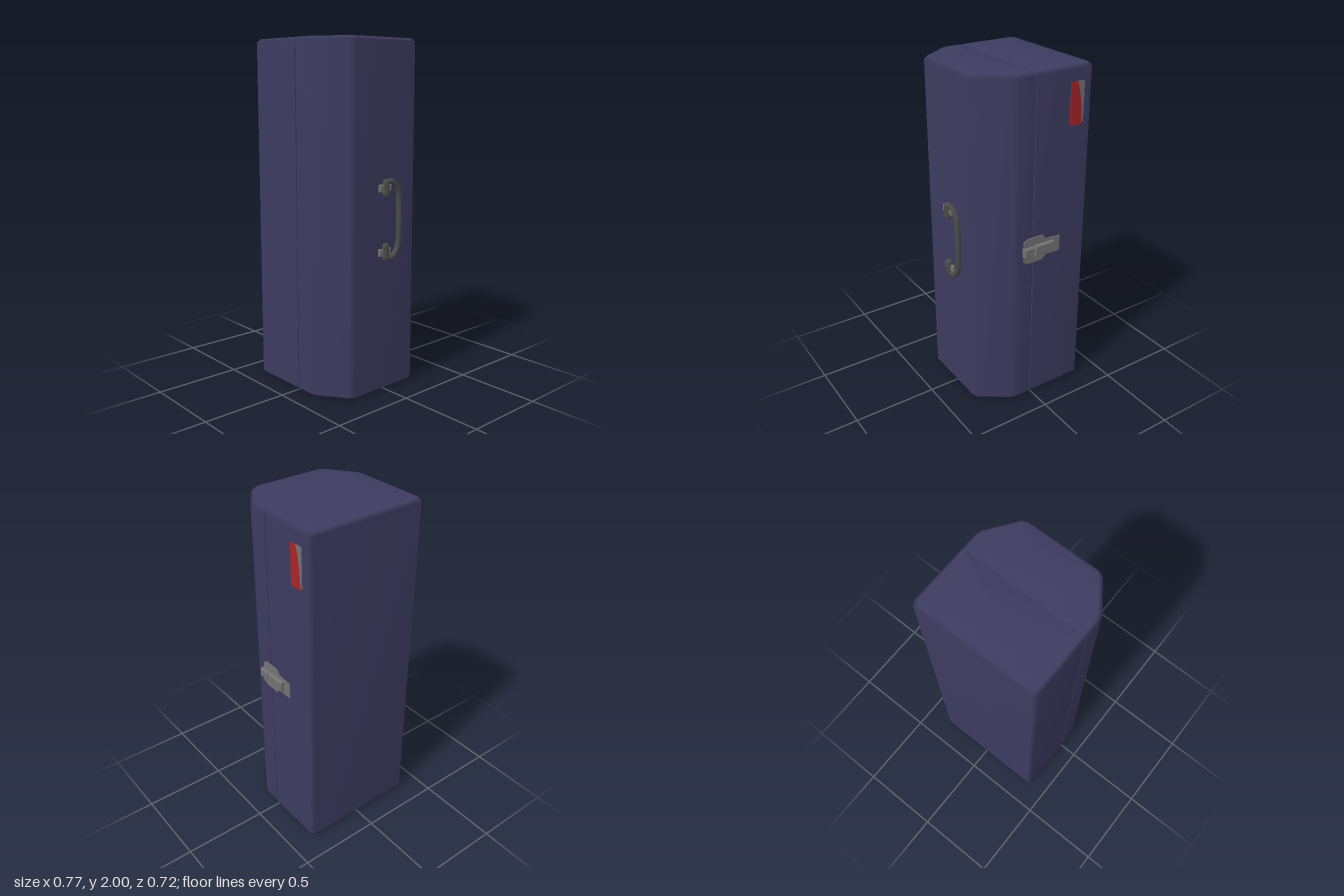
import * as THREE from 'three';

const CX = -0.015, SEAM = 0.01;
const mat = (name, color, side = THREE.FrontSide) => {
  const m = new THREE.MeshStandardMaterial({ color, side });
  m.name = name;
  return m;
};

// Bevelled prism: half outline as [half width, z], listed from the seam outwards
function shellGeometry(half) {
  const seam = half[0][1], bevel = 0.018;
  const depth = Math.abs(half[half.length - 1][1] - seam);
  const forward = half[half.length - 1][1] > seam;
  const left = half.map(([w, z]) => [-w, z]);
  const right = half.slice().reverse();
  let outline = [...left, ...right];
  if (!forward) outline = outline.reverse();
  const n = outline.length, pos = [], idx = [];
  for (const [y, inset] of [[0, bevel], [bevel, 0], [2 - bevel, 0], [2, bevel]])
    for (const [x, z] of outline)
      pos.push(CX + x * (1 - inset / 0.37), y, seam + (z - seam) * (1 - inset / depth));
  for (let j = 0; j < 3; j++)
    for (let i = 0; i < n; i++) {
      const a = j * n + i, b = j * n + (i + 1) % n;
      idx.push(a, b, b + n, a, b + n, a + n);
    }
  const bottom = 4 * n, top = bottom + 1, mid = seam + (forward ? depth : -depth) / 2;
  pos.push(CX, 0, mid, CX, 2, mid);
  for (let i = 0; i < n; i++) {
    const k = (i + 1) % n;
    idx.push(top, 3 * n + i, 3 * n + k, bottom, k, i);
  }
  const g = new THREE.BufferGeometry();
  g.setAttribute('position', new THREE.Float32BufferAttribute(pos, 3));
  g.setIndex(idx);
  g.computeVertexNormals();
  return g;
}

// Thin plate from a shape, with a small thickness
const plate = (shape, depth) =>
  new THREE.ExtrudeGeometry(shape, { depth, bevelEnabled: false, curveSegments: 8 });
const polygon = pts => new THREE.Shape(pts.map(p => new THREE.Vector2(...p)));

// Block with chamfered edges, back face on z = 0
function block(w, h, d, c) {
  const x = w / 2 - c, y = h / 2 - c;
  const g = new THREE.ExtrudeGeometry(polygon([[-x, -y], [x, -y], [x, y], [-x, y]]),
    { depth: d - c, bevelSize: c, bevelThickness: c, bevelSegments: 1 });
  return g;
}

export function createModel() {
  const model = new THREE.Group();
  model.name = 'case';
  const navy = mat('navy shell', 0x3d3b60);
  const steel = mat('steel', 0x727272);
  const dark = mat('dark metal', 0x4b4b4a);
  const red = mat('red label', 0xa82427);
  const add = (parent, name, geo, material, x = 0, y = 0, z = 0) => {
    const m = new THREE.Mesh(geo, material);
    m.name = name;
    m.position.set(x, y, z);
    parent.add(m);
    return m;
  };

  // Body and lid, meeting at the seam
  add(model, 'backShell', shellGeometry([
    [0.367, SEAM - 0.001], [0.37, SEAM - 0.005], [0.37, -0.34], [0.35, -0.36]]), navy);
  add(model, 'frontShell', shellGeometry([
    [0.367, SEAM + 0.001], [0.37, SEAM + 0.005], [0.37, 0.11], [0.36, 0.145],
    [0.245, 0.31], [0.215, 0.325]]), navy);

  // Carrying handle on the front
  const handle = new THREE.Group();
  handle.name = 'handle';
  handle.position.set(0, 1.003, 0.325);
  model.add(handle);
  const upper = [[-0.015, 0.215], [0.03, 0.217], [0.062, 0.195], [0.082, 0.16], [0.09, 0.11]];
  const path = [...upper, ...upper.slice().reverse().map(([x, y]) => [x, -y])]
    .map(([x, y]) => new THREE.Vector3(x, y, 0.011));
  add(handle, 'grip', new THREE.TubeGeometry(
    new THREE.CatmullRomCurve3(path, false, 'centripetal'), 48, 0.016, 8), dark);
  for (const s of [1, -1]) {
    // Mounting eye and its cross plate
    const eye = add(handle, 'handleMount',
      new THREE.CapsuleGeometry(0.021, 0.062, 4, 10), dark, -0.014, s * 0.18, 0.012);
    eye.scale.z = 0.95;
    add(handle, 'mountPlate', block(0.09, 0.042, 0.016, 0.006), steel, -0.016, s * 0.182, 0);
  }

  // Fittings on the left side: local x runs towards the back, local z points outwards
  const side = new THREE.Group();
  side.name = 'sideFittings';
  side.position.x = CX + 0.37;
  side.rotation.y = Math.PI / 2;
  model.add(side);

  // Latch
  add(side, 'latchPlate', plate(polygon([
    [-0.075, 0.94], [-0.045, 0.925], [0.05, 0.925], [0.075, 0.95], [0.17, 0.95],
    [0.17, 1.045], [0.075, 1.05], [0.05, 1.08], [-0.05, 1.08], [-0.075, 1.065]]), 0.006), steel);
  add(side, 'latchLever', block(0.13, 0.06, 0.028, 0.005), steel, 0.055, 1.003, 0);
  add(side, 'latchCatch', block(0.064, 0.052, 0.028, 0.005), steel, -0.05, 1.003, 0);

  // Label: red field with a grey curved corner
  const edge = s => s.bezierCurveTo(0.285, 1.78, 0.272, 1.87, 0.252, 1.915);
  const redShape = new THREE.Shape();
  redShape.moveTo(0.21, 1.682);
  redShape.lineTo(0.288, 1.676);
  redShape.lineTo(0.288, 1.7);
  edge(redShape);
  redShape.lineTo(0.21, 1.912);
  add(side, 'labelRed', plate(redShape, 0.004), red);
  const greyShape = new THREE.Shape();
  greyShape.moveTo(0.288, 1.69);
  greyShape.lineTo(0.298, 1.69);
  greyShape.lineTo(0.298, 1.915);
  greyShape.lineTo(0.252, 1.915);
  greyShape.bezierCurveTo(0.272, 1.87, 0.285, 1.78, 0.288, 1.7);
  add(side, 'labelGrey', plate(greyShape, 0.004), steel);

  return model;
}
